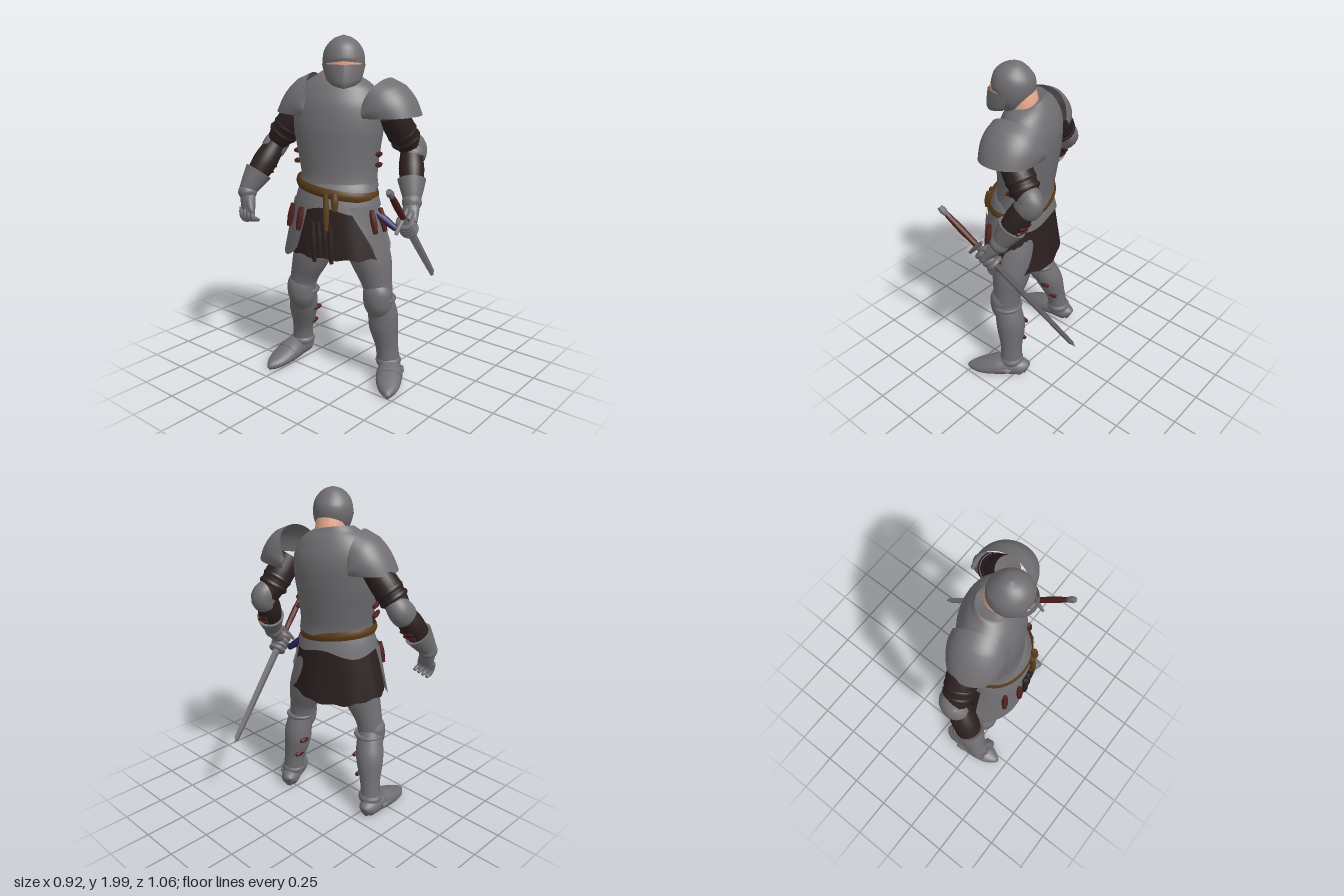
import * as THREE from 'three';
import { toCreasedNormals } from 'three/addons/utils/BufferGeometryUtils.js';

const paint = (name, color) => {
  const m = new THREE.MeshStandardMaterial({ color, side: THREE.DoubleSide });
  m.name = name;
  return m;
};
const V = (x, y, z) => new THREE.Vector3(x, y, z);
const mix = THREE.MathUtils.lerp;

export function createModel() {
  const model = new THREE.Group();
  const steel = paint('steel', 0x706e71), leather = paint('darkLeather', 0x2c2020);
  const skin = paint('skin', 0xe8aa8e), tan = paint('tanLeather', 0x5c3e1a);
  const red = paint('redLeather', 0x521f1f), blue = paint('blueCloth', 0x272256);

  const add = (name, mat, geo) => {
    const m = new THREE.Mesh(geo, mat);
    m.name = name;
    model.add(m);
    return m;
  };
  const build = (pos, idx, crease) => {
    const g = new THREE.BufferGeometry();
    g.setAttribute('position', new THREE.Float32BufferAttribute(pos, 3));
    g.setIndex(idx);
    return toCreasedNormals(g, crease);
  };

  // Closed solid swept through elliptical sections [x, y, z, a, b]; a lies along ref
  function sweep(name, mat, secs, ref = V(0, 0, 1), n = 24, crease = 0.9) {
    const path = new THREE.CatmullRomCurve3(secs.map(s => V(s[0], s[1], s[2])), false, 'catmullrom');
    const size = new THREE.CatmullRomCurve3(secs.map(s => V(s[3], s[4] ?? s[3], 0)), false, 'catmullrom');
    const rows = (secs.length - 1) * 5, pos = [], idx = [];
    for (let i = 0; i <= rows; i++) {
      const c = path.getPoint(i / rows), t = path.getTangent(i / rows), r = size.getPoint(i / rows);
      const u = ref.clone().addScaledVector(t, -ref.dot(t)).normalize(), w = t.clone().cross(u);
      for (let j = 0; j < n; j++) {
        const q = j / n * Math.PI * 2;
        pos.push(...c.clone().addScaledVector(u, r.x * Math.cos(q)).addScaledVector(w, r.y * Math.sin(q)));
      }
    }
    for (let i = 0; i < rows; i++) for (let j = 0; j < n; j++) {
      const a = i * n + j, b = i * n + (j + 1) % n;
      idx.push(a, b, a + n, b, b + n, a + n);
    }
    const k = pos.length / 3;
    pos.push(...path.getPoint(0), ...path.getPoint(1));
    for (let j = 0; j < n; j++) {
      const e = (j + 1) % n;
      idx.push(k, e, j, k + 1, rows * n + j, rows * n + e);
    }
    return add(name, mat, build(pos, idx, crease));
  }

  // Thin curved sheet from a rule f(u, v)
  function sheet(name, mat, f, nu = 48, nv = 8) {
    const pos = [], idx = [];
    for (let j = 0; j <= nv; j++) for (let i = 0; i <= nu; i++) pos.push(...f(i / nu, j / nv));
    for (let j = 0; j < nv; j++) for (let i = 0; i < nu; i++) {
      const a = j * (nu + 1) + i, b = a + nu + 1;
      idx.push(a, b, a + 1, b, b + 1, a + 1);
    }
    return add(name, mat, build(pos, idx, 1));
  }

  // Local frame: l to the wearer's left, f forward
  const frame = (cx, cz, L) => (l, y, f) => V(cx + L.x * l - L.z * f, y, cz + L.z * l + L.x * f);
  const chestSide = V(0.38, 0, 0.925), hipSide = V(0.27, 0, 0.96), headSide = V(0.64, 0, 0.77);
  const chest = frame(-0.135, 0.015, chestSide), hips = frame(-0.165, 0.035, hipSide);
  const head = frame(-0.165, 0.085, headSide);
  const strap = (name, p, q, mat = red, r = 0.014) =>
    sweep(name, mat, [[...p, r * 0.8], [...p.clone().lerp(q, 0.5), r * 1.15], [...q, r * 0.8]], V(0.3, 0.5, 0.8), 8);

  // Torso armour
  sweep('breastplate', steel, [
    [...chest(0.01, 1.17, 0.015), 0.23, 0.165], [...chest(0.01, 1.24, 0.01), 0.222, 0.16], [...chest(0.005, 1.36, 0), 0.238, 0.168],
    [...chest(0, 1.5, -0.01), 0.26, 0.178], [...chest(0, 1.63, -0.022), 0.255, 0.17], [...chest(0.005, 1.725, -0.025), 0.205, 0.135],
    [...chest(0.008, 1.775, -0.024), 0.135, 0.1], [...chest(0.01, 1.79, -0.022), 0.09, 0.08]], chestSide, 40);
  sweep('neck', skin, [[-0.115, 1.72, 0.06, 0.088], [-0.12, 1.78, 0.062, 0.086], [-0.14, 1.86, 0.07, 0.084]]);

  // Helmet, visor and eye opening
  sweep('helmet', steel, [
    [...head(0, 1.745, 0.05), 0.06, 0.055], [...head(0, 1.79, 0.02), 0.1, 0.093], [...head(0, 1.86, 0), 0.115, 0.122],
    [...head(0, 1.93, -0.002), 0.101, 0.108], [...head(0, 1.98, -0.005), 0.056, 0.06], [...head(0, 2.0, -0.005), 0.004, 0.004]],
  headSide, 32);
  sheet('visor', steel, (u, v) => {
    const q = (u - 0.5) * 2.9, w = mix(0.077, 0.118, Math.sqrt(v)), ridge = 0.012 * Math.max(0, 1 - Math.abs(q) * 1.3);
    return head(w * Math.sin(q), mix(1.725 + 0.05 * Math.abs(u - 0.5), 1.85, v), mix(0.045, 0.004, v) + (w + 0.004) * Math.cos(q) + ridge);
  });
  sheet('eyeOpening', skin, (u, v) => {
    const q = (u - 0.5) * 1.8;
    return head(0.118 * Math.sin(q), mix(1.845, 1.868 - 0.024 * Math.abs(u - 0.5), v), 0.126 * Math.cos(q));
  }, 20, 1);

  // Fauld, belt and skirt
  sheet('fauld', steel, (u, v) => {
    const q = u * Math.PI * 2, k = Math.sqrt(v);
    return hips(mix(0.19, 0.256, k) * Math.cos(q), mix(1.215, 1.062 + 0.02 * Math.cos(q * 4), v), mix(0.12, 0.194, k) * Math.sin(q));
  }, 64, 10);
  sheet('belt', tan, (u, v) => {
    const q = u * Math.PI * 2, e = 0.008 * Math.sin(v * Math.PI);
    return hips((0.236 + e) * Math.cos(q), 1.165 - 0.035 * Math.cos(q) + (v - 0.5) * 0.055, (0.183 + e) * Math.sin(q));
  }, 64, 4);
  sheet('skirt', leather, (u, v) => {
    const q = u * Math.PI * 2, fold = 1 + 0.018 * v * Math.sin(q * 8);
    const hem = 0.79 - 0.05 * Math.max(0, -Math.sin(q)) ** 2 + 0.006 * Math.sin(q * 13);
    return hips(mix(0.235, 0.308, v) * fold * Math.cos(q), mix(1.12, hem, v), mix(0.172, 0.205, v) * fold * Math.sin(q));
  }, 96);

  // Hip plates tapering to a rounded point, hung on straps: side, angle range, strap angles
  for (const [s, q0, q1, hung] of [[1, 0.02, 1.0, [0.12, 0.45]], [-1, -0.05, 1.2, [0.65, 1.05]]]) {
    sheet('tasset', steel, (u, v) => {
      const arc = Math.sin(u * Math.PI) ** 0.6, q = mix(q0, q1 - (s > 0 ? 0.4 : 0.1) * v, u);
      return hips(s * mix(0.258, 0.33, v) * Math.cos(q), mix(1.09, 0.87 - 0.11 * arc, v), mix(0.2, 0.226, v) * Math.sin(q));
    }, 24);
    for (const q of hung) {
      strap('tassetStrap', hips(s * 0.276 * Math.cos(q), 1.07, 0.214 * Math.sin(q)),
        hips(s * 0.307 * Math.cos(q), 0.94, 0.228 * Math.sin(q)), red, 0.017);
    }
    for (const y of [1.29, 1.35]) strap('sideBuckle', chest(s * 0.24, y, -0.04), chest(s * 0.24, y + 0.01, 0.045));
  }
  for (let i = 0; i < 4; i++) {
    const l = -0.06 + i * 0.035;
    strap('frontTatter', hips(l, 1.0, 0.2), hips(l + 0.01, 0.77 + 0.03 * (i % 3), 0.205), leather, 0.015);
  }
  strap('beltEnd', hips(0.02, 1.17, 0.198), hips(0.03, 0.96, 0.213), tan, 0.016);
  strap('beltPouch', hips(0.07, 1.17, 0.188), hips(0.075, 1.07, 0.2), tan, 0.019);
  strap('scabbard', V(-0.14, 1.07, 0.25), V(-0.08, 0.955, 0.39), blue, 0.022);

  // Shoulder plates: raised crest beside the neck sweeping out and down to a flared edge
  for (const [s, cx, cz, d, crest, reach, top, L] of [
    [1, -0.025, 0.2, 0.165, 0.115, 0.265, 1.775, V(0.15, 0, 0.99)],
    [-1, -0.15, -0.125, 0.15, 0.06, 0.235, 1.795, V(0.33, 0, 0.944)]]) {
    const sh = frame(cx, cz, L);
    sheet('pauldron', steel, (u, v) => {
      const q = (u - 0.5) * Math.PI, k = Math.max(0, Math.cos(q)), puff = Math.sin(v * Math.PI);
      const lip = 0.035 * k * Math.max(0, 1 - v * 5);
      return sh(s * (mix(crest * k, 0.01 + (reach - 0.01) * k ** 0.6, v) + 0.02 * puff * k - lip),
        mix(1.62 + (top - 1.62) * k ** 0.7, 1.565 + 0.012 * k, v) + 0.012 * puff * k,
        d * (1 + 0.08 * puff) * Math.sin(q));
    }, 40, 15);
  }

  // Arms: shoulder, elbow, wrist, knuckles
  const arms = [
    [V(-0.01, 1.59, 0.29), V(0.148, 1.37, 0.32), V(0.025, 1.11, 0.42), V(-0.05, 1.0, 0.455)],
    [V(-0.15, 1.59, -0.25), V(-0.21, 1.38, -0.4), V(-0.395, 1.11, -0.47), V(-0.42, 1.0, -0.44)]];
  for (const [S, E, W, K] of arms) {
    const on = (p, q, t, a, b) => [...p.clone().lerp(q, t), a, b ?? a];
    sweep('upperArm', leather, [on(S, E, 0, 0.078), on(S, E, 0.45, 0.085), on(S, E, 0.8, 0.074), on(S, E, 1, 0.06)]);
    for (const t of [0.5, 0.68]) sweep('armBand', leather, [on(S, E, t, 0.085), on(S, E, t + 0.05, 0.088), on(S, E, t + 0.1, 0.082)]);
    const up = E.clone().lerp(S, 0.28), low = E.clone().lerp(W, 0.32), out = V(0.02, 0, Math.sign(E.z) * 0.012);
    const mid = E.clone().add(out);
    sweep('elbowGuard', steel, [[...up.clone().add(out), 0.02], [...up.clone().lerp(mid, 0.3), 0.06, 0.068], [...mid, 0.068, 0.076],
      [...low.clone().lerp(mid, 0.4), 0.064, 0.07], [...low.clone().add(out), 0.02]]);
    sweep('forearm', leather, [on(E, W, 0.05, 0.06), on(E, W, 0.4, 0.072), on(E, W, 0.75, 0.06), on(E, W, 1, 0.045)]);
    for (const t of [0.42, 0.54]) {
      const c = E.clone().lerp(W, t).add(V(0.055, -0.03, 0));
      strap('forearmBuckle', c.clone().add(V(0, 0, -0.04)), c.clone().add(V(0, 0, 0.04)), red, 0.012);
    }
    sweep('gauntletCuff', steel, [on(E, W, 0.62, 0.08, 0.084), on(E, W, 0.85, 0.062, 0.066), on(E, W, 1.03, 0.048)]);
    sweep('wristPlate', steel, [on(W, K, -0.1, 0.05), on(W, K, 0.15, 0.056), on(W, K, 0.35, 0.046)]);
    sweep('palm', steel, [on(W, K, 0, 0.042, 0.04), on(W, K, 0.5, 0.05, 0.038), on(W, K, 1, 0.048, 0.03)]);
  }

  // Open right hand
  for (let i = 0; i < 4; i++) {
    const z = -0.485 + i * 0.03, d = 0.006 * i;
    sweep('rightFinger', steel, [[-0.43, 1.01, z, 0.016], [-0.44, 0.965, z + 0.01, 0.016],
      [-0.425, 0.935 + d, z + 0.016, 0.014], [-0.4, 0.922 + d, z + 0.02, 0.009]], V(0, 0, 1), 10);
  }
  sweep('rightThumb', steel, [[-0.42, 1.06, -0.43, 0.02], [-0.44, 1.01, -0.395, 0.018], [-0.435, 0.97, -0.385, 0.01]], V(1, 0, 0), 10);

  // Sword held in the left hand
  const pommel = V(-0.335, 1.235, 0.525), tip = V(0.46, 0.51, 0.3), axis = tip.clone().sub(pommel).normalize();
  const at = t => pommel.clone().lerp(tip, t), across = V(0.66, 0.75, 0);
  sweep('pommel', steel, [[...at(-0.005), 0.016], [...at(0.02), 0.021], [...at(0.05), 0.014]], across, 10);
  sweep('grip', red, [[...at(0.04), 0.015], [...at(0.14), 0.02], [...at(0.26), 0.017]], across, 12);
  strap('crossguard', at(0.27).addScaledVector(across, 0.06), at(0.27).addScaledVector(across, -0.1), steel, 0.012);
  sweep('blade', steel, [[...at(0.27), 0.033, 0.011], [...at(0.6), 0.03, 0.01], [...at(0.94), 0.024, 0.008],
    [...at(0.97), 0.019, 0.006], [...at(1), 0.002, 0.002]], across, 4, 0.3);
  for (let i = 0; i < 4; i++) {
    const f = add('leftFinger', steel, new THREE.TorusGeometry(0.038, 0.017, 8, 16));
    f.position.copy(at(0.31 + i * 0.028));
    f.quaternion.setFromUnitVectors(V(0, 0, 1), axis);
  }
  sweep('leftThumb', steel, [[0, 1.05, 0.45, 0.02], [-0.06, 1.05, 0.47, 0.018], [-0.1, 1.03, 0.48, 0.011]], V(0, 1, 0), 10);

  // Legs: thigh and shin sections, then foot heel and toe
  const legs = [
    { thigh: [[-0.11, 0.96, 0.14, 0.13], [-0.1, 0.84, 0.19, 0.128], [-0.09, 0.72, 0.235, 0.113], [-0.09, 0.61, 0.268, 0.088], [-0.09, 0.52, 0.28, 0.08]],
      shin: [[-0.085, 0.52, 0.28, 0.078], [-0.06, 0.42, 0.288, 0.087], [-0.052, 0.34, 0.29, 0.086], [-0.04, 0.22, 0.305, 0.068], [-0.035, 0.11, 0.315, 0.068]],
      knee: V(-0.11, 0.53, 0.285), heel: V(0.055, 0, 0.27), toe: V(-0.26, 0, 0.475), inner: -1 },
    { thigh: [[-0.18, 0.96, -0.05, 0.13], [-0.2, 0.84, -0.09, 0.125], [-0.22, 0.72, -0.13, 0.108], [-0.23, 0.61, -0.17, 0.085], [-0.235, 0.52, -0.19, 0.078]],
      shin: [[-0.23, 0.52, -0.19, 0.076], [-0.2, 0.43, -0.215, 0.085], [-0.175, 0.35, -0.24, 0.084], [-0.15, 0.22, -0.27, 0.063], [-0.14, 0.11, -0.285, 0.064]],
      knee: V(-0.245, 0.51, -0.19), heel: V(-0.055, 0, -0.31), toe: V(-0.44, 0, -0.285), inner: 1 }];
  sweep('pelvis', steel, [[...hips(0, 0.88, 0), 0.17, 0.12], [...hips(0, 1, 0), 0.21, 0.145], [...hips(0, 1.15, 0), 0.2, 0.14]], hipSide);
  for (const { thigh, shin, knee, heel, toe, inner } of legs) {
    sweep('thighPlate', steel, thigh);
    sweep('greave', steel, shin);
    const [kx, ky, kz] = knee;
    sweep('kneeGuard', steel, [[kx + 0.02, ky + 0.09, kz, 0.06], [kx + 0.005, ky + 0.045, kz, 0.084, 0.078], [kx, ky, kz, 0.085, 0.08],
      [kx + 0.01, ky - 0.05, kz, 0.082, 0.076], [kx + 0.03, ky - 0.11, kz, 0.055]]);
    sweep('kneeRim', steel, [[kx + 0.03, ky + 0.005, kz, 0.086], [kx + 0.03, ky - 0.006, kz, 0.092], [kx + 0.03, ky - 0.018, kz, 0.086]]);
    for (const [i, y] of [[2, 0.37], [3, 0.26]]) {
      const x = shin[i][0] + 0.02, z = shin[i][2] + inner * (shin[i][3] + 0.004);
      strap('greaveStrap', V(x - 0.025, y, z), V(x + 0.035, y, z));
    }

    // Pointed plated shoe
    const dir = toe.clone().sub(heel), side = V(dir.z, 0, -dir.x).normalize();
    const foot = (t, a, b) => [...heel.clone().addScaledVector(dir, t).setY(b + 0.008), a, b];
    sweep('shoe', steel, [foot(0, 0.025, 0.04), foot(0.08, 0.055, 0.055), foot(0.35, 0.066, 0.066), foot(0.6, 0.076, 0.053),
      foot(0.82, 0.06, 0.037), foot(0.96, 0.029, 0.025), foot(1, 0.006, 0.012)], side);
    sweep('instepPlate', steel, [foot(0.36, 0.07, 0.068), foot(0.48, 0.077, 0.063), foot(0.58, 0.077, 0.056)], side);
    const [ax, , az] = shin[4];
    sweep('ankleBand', steel, [[ax, 0.145, az, 0.066], [ax, 0.125, az, 0.076], [ax, 0.1, az, 0.07]]);
    const c = heel.clone().addScaledVector(dir, 0.35).addScaledVector(side, -inner * 0.068 * Math.sign(side.z)).setY(0.075);
    strap('shoeBuckle', c.clone().addScaledVector(dir, -0.1), c.clone().addScaledVector(dir, 0.1), steel, 0.014);
  }
  return model;
}
